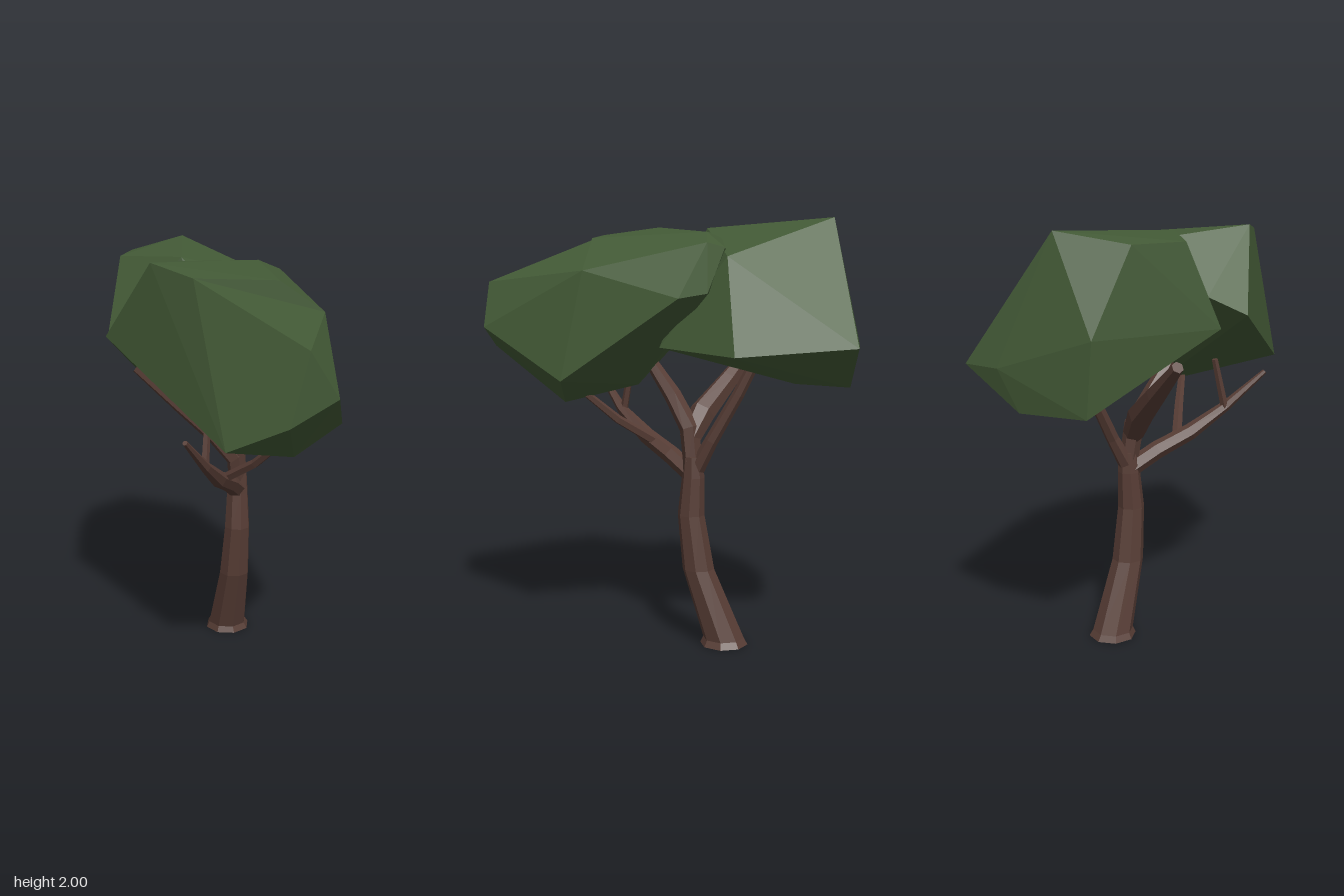
import * as THREE from 'three';
import { ConvexGeometry } from 'three/addons/geometries/ConvexGeometry.js';

const bark = new THREE.MeshStandardMaterial({ color: 0x573d35 });
bark.name = 'bark brown';
const leaf = new THREE.MeshStandardMaterial({ color: 0x435a36 });
leaf.name = 'leaf green';

const UP = new THREE.Vector3(0, 1, 0);

// Faceted limb through [x, y, z, radius] stations, from root to tip
function limb(name, stations, sides = 6, level = false) {
  const last = stations.length - 1;
  const centres = stations.map(([x, y, z]) => new THREE.Vector3(x, y, z));
  const turns = centres.map((c, i) => {
    const dir = centres[Math.min(i + 1, last)].clone().sub(centres[Math.max(i - 1, 0)]).normalize();
    return new THREE.Quaternion().setFromUnitVectors(UP, level ? UP : dir);
  });
  // a unit cylinder whose rows are moved onto the stations
  const geo = new THREE.CylinderGeometry(1, 1, last, sides, last);
  const pos = geo.attributes.position;
  const v = new THREE.Vector3();
  for (let i = 0; i < pos.count; i++) {
    v.fromBufferAttribute(pos, i);
    const row = Math.round(v.y + last / 2);
    v.setY(0).multiplyScalar(stations[row][3]).applyQuaternion(turns[row]).add(centres[row]);
    pos.setXYZ(i, v.x, v.y, v.z);
  }
  const flat = geo.toNonIndexed();
  flat.computeVertexNormals();
  const mesh = new THREE.Mesh(flat, bark);
  mesh.name = name;
  return mesh;
}

// Faceted leaf mass around its corner points
function crown(name, corners) {
  const mesh = new THREE.Mesh(new ConvexGeometry(corners.map((p) => new THREE.Vector3(...p))), leaf);
  mesh.name = name;
  return mesh;
}

export function createModel() {
  const tree = new THREE.Group();
  tree.name = 'tree';

  // Leaning trunk with a small flare at the foot
  tree.add(limb('trunk', [
    [0.12, 0, -0.27, 0.114], [0.118, 0.03, -0.268, 0.098], [0.115, 0.36, -0.145, 0.076],
    [0.118, 0.62, -0.11, 0.064], [0.122, 0.8, -0.12, 0.054], [0.125, 0.9, -0.12, 0.045],
  ], 8, true));

  // Branches
  tree.add(limb('frontBranch', [
    [0.12, 0.81, -0.12, 0.045], [0.04, 0.89, 0, 0.044], [-0.06, 0.965, 0.14, 0.04],
    [-0.17, 1.08, 0.29, 0.026], [-0.305, 1.245, 0.43, 0.012],
  ]));
  tree.add(limb('frontTwig', [[-0.17, 1.07, 0.28, 0.02], [-0.14, 1.32, 0.23, 0.015]], 5));
  tree.add(limb('innerTwig', [[-0.02, 0.94, 0.08, 0.025], [0.08, 1.06, 0.25, 0.022], [0.17, 1.22, 0.42, 0.016]], 5));
  tree.add(limb('middleBranch', [
    [0.125, 0.84, -0.12, 0.045], [0.105, 1.03, -0.1, 0.048], [0.06, 1.18, -0.01, 0.042], [0.02, 1.36, 0.12, 0.028],
  ]));
  tree.add(limb('rightBranch', [
    [0.11, 0.98, -0.1, 0.05], [0.03, 1.1, -0.15, 0.062], [-0.13, 1.24, -0.25, 0.048], [-0.32, 1.41, -0.36, 0.028],
  ]));
  tree.add(limb('backBranch', [
    [0.125, 0.83, -0.13, 0.04], [0.15, 0.98, -0.21, 0.032], [0.16, 1.2, -0.335, 0.028], [0.17, 1.45, -0.46, 0.024],
  ]));

  // Front crown: a main mass and a low cap whose front edge makes a step
  const cap = [
    [-0.25, 1.94, 0.39], [-0.37, 1.98, 0.14], [0.37, 1.76, 0.34], [0.37, 1.88, -0.22],
    [0.25, 1.93, -0.2], [-0.18, 1.945, -0.15], [0.31, 1.86, -0.29], [0.05, 1.91, -0.24],
  ];
  tree.add(crown('frontCrown', [
    ...cap,
    [0.08, 1.71, 0.88], [0, 1.4, 0.88], [0.22, 1.5, 0.86], [0.43, 1.27, 0.43],
    [0.18, 1.15, 0.48], [-0.21, 1.27, 0.7], [-0.52, 1.62, -0.12], [0.52, 1.64, -0.12],
    [0.42, 1.66, -0.23], [0.08, 1.23, 0.15], [-0.38, 1.7, -0.22],
  ]));
  tree.add(crown('frontCrownCap', [...cap, [0.15, 1.91, 0.35]]));

  // Back crown
  tree.add(crown('backCrown', [
    [0.03, 2, -0.75], [0.42, 1.43, -0.88], [0.24, 1.43, -0.88], [0.5, 1.39, -0.36],
    [0.38, 1.82, -0.31], [-0.15, 1.965, -0.14], [-0.38, 1.95, -0.39], [-0.48, 1.58, -0.27],
    [-0.27, 1.95, -0.62], [-0.2, 1.58, -0.8], [-0.17, 1.25, -0.8], [0.16, 1.24, -0.84],
    [0.24, 1.26, -0.6], [0.33, 1.42, 0], [0, 1.43, 0],
  ]));
  return tree;
}
